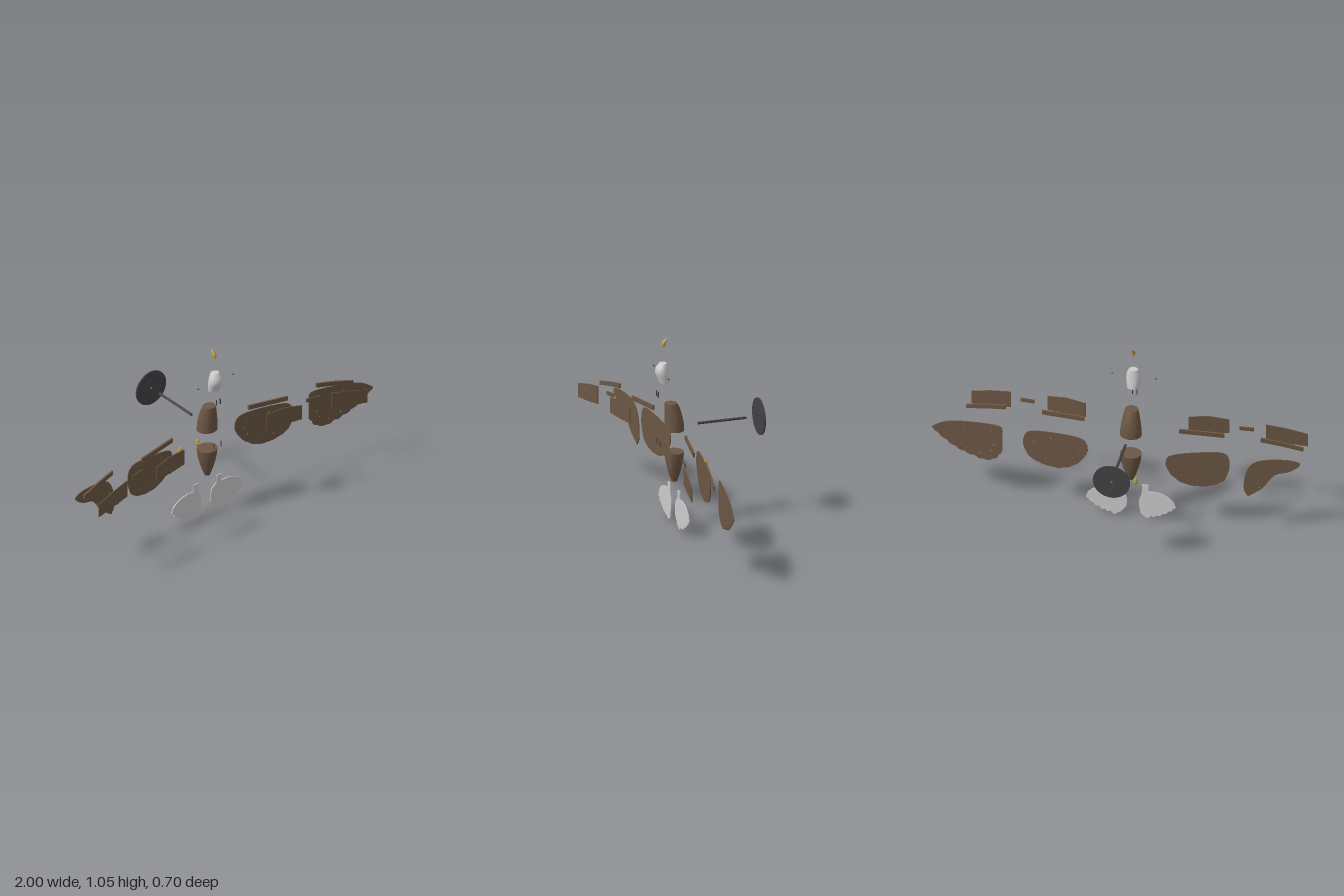
import * as THREE from 'three';

const AXIS = -0.088; // x of the body's centre line
const mat = (color) => new THREE.MeshStandardMaterial({ color, roughness: 0.8 });
const GREY = mat(0xcccccc), BROWN = mat(0x6b5643), GOLD = mat(0xb89f42), BLACK = mat(0x424244);

// Stacked elliptical sections, bottom to top: [y, centreZ, radiusX, radiusZ]
function loft(rows) {
  const n = rows.length - 1;
  const g = new THREE.CylinderGeometry(1, 1, 1, 32, n);
  const p = g.attributes.position;
  for (let i = 0; i < p.count; i++) {
    const [y, cz, rx, rz] = rows[Math.round((p.getY(i) + 0.5) * n)];
    p.setXYZ(i, AXIS + p.getX(i) * rx, y, cz + p.getZ(i) * rz);
  }
  g.computeVertexNormals();
  return g;
}

// Flat plate swept forward: points are [distance from axis, y].
// edge is smooth or straight, feathers continue it with scallops.
function plate({ edge, feathers = [], side, z, slope = 0.132, t = 0.005, smooth = true, bulge = 0.012, dots = false }) {
  const v = ([d, y]) => new THREE.Vector2(AXIS + side * d, y);
  const e = edge.map(v), f = feathers.map(v);
  const all = [...e, ...f];
  const mid = all.reduce((a, b) => a.add(b), new THREE.Vector2()).divideScalar(all.length);
  const s = new THREE.Shape();
  s.moveTo(e[0].x, e[0].y);
  if (smooth) s.splineThru(e.slice(1));
  else e.slice(1).forEach((q) => s.lineTo(q.x, q.y));
  let last = e[e.length - 1];
  for (const q of f) {
    const c = last.clone().add(q).multiplyScalar(0.5);
    c.add(c.clone().sub(mid).setLength(bulge * 2));
    s.quadraticCurveTo(c.x, c.y, q.x, q.y);
    last = q;
  }
  s.closePath();
  // small fixing holes inside the rim
  if (dots) all.forEach((q, i) => {
    if (i % 2) return;
    const c = q.clone().lerp(mid, 0.3);
    s.holes.push(new THREE.Path().absarc(c.x, c.y, 0.003, 0, Math.PI * 2, true));
  });
  const g = new THREE.ExtrudeGeometry(s, { depth: t, bevelEnabled: false, curveSegments: 6 });
  const p = g.attributes.position, d0 = Math.min(...[...edge, ...feathers].map((q) => q[0]));
  for (let i = 0; i < p.count; i++) {
    const d = Math.abs(p.getX(i) - AXIS);
    p.setZ(i, p.getZ(i) - t / 2 + z + slope * (d - d0));
  }
  g.computeVertexNormals();
  return g;
}

// Scalloped lower rim running from (d1,y1) to (d0,y0)
const rim = (d1, y1, d0, y0, n) =>
  Array.from({ length: n }, (_, i) => {
    const k = (i + 1) / n;
    return [d1 + (d0 - d1) * k, y1 + (y0 - y1) * k];
  });

export function createModel() {
  const group = new THREE.Group();
  const add = (name, geometry, material, x = 0, y = 0, z = 0) => {
    const m = new THREE.Mesh(geometry, material);
    m.name = name;
    m.position.set(x, y, z);
    group.add(m);
    return m;
  };

  // Beak and its peg
  add('beak', loft([[1.003, 0.191, 0.009, 0.009], [1.015, 0.19, 0.011, 0.011], [1.028, 0.185, 0.01, 0.01],
    [1.039, 0.177, 0.007, 0.007], [1.048, 0.166, 0.001, 0.001]]), GOLD);
  add('beakPeg', new THREE.CylinderGeometry(0.002, 0.002, 0.01, 8), GOLD, AXIS, 1, 0.19);

  // Head, torso halves
  add('head', loft([[0.8, 0.183, 0.032, 0.028], [0.83, 0.19, 0.037, 0.032], [0.85, 0.197, 0.04, 0.035],
    [0.87, 0.2, 0.039, 0.035], [0.89, 0.198, 0.034, 0.03], [0.91, 0.192, 0.024, 0.02]]), GREY);
  add('upperBody', loft([[0.53, 0.129, 0.058, 0.052], [0.57, 0.13, 0.056, 0.051], [0.61, 0.134, 0.051, 0.047],
    [0.65, 0.14, 0.043, 0.041], [0.682, 0.148, 0.036, 0.033]]), BROWN);
  add('lowerBody', loft([[0.245, 0.129, 0.015, 0.015], [0.28, 0.129, 0.029, 0.027], [0.32, 0.129, 0.042, 0.038],
    [0.365, 0.129, 0.053, 0.047], [0.41, 0.129, 0.058, 0.052]]), BROWN);

  // Stand rod and round base
  add('standRod', new THREE.CylinderGeometry(0.007, 0.007, 0.27, 20).rotateX(Math.PI / 2), BLACK, AXIS, 0.552, -0.137);
  const disc = new THREE.Shape().absarc(0, 0, 0.1, 0, Math.PI * 2);
  disc.holes.push(new THREE.Path().absarc(0, 0, 0.007, 0, Math.PI * 2, true));
  add('standBase', new THREE.ExtrudeGeometry(disc, { depth: 0.008, bevelEnabled: false, curveSegments: 32 }),
    BLACK, AXIS, 0.552, -0.349);

  for (const side of [1, -1]) {
    const x = (d) => AXIS + side * d;

    // Eyes, joining pins, feet
    add('eye', new THREE.CylinderGeometry(0.004, 0.004, 0.006, 12).rotateZ(Math.PI / 2), BLACK, x(0.118), 0.858, 0.202);
    add('neckPin', new THREE.CylinderGeometry(0.003, 0.003, 0.032, 10), BLACK, x(0.013), 0.741, 0.223);
    add('bodyPin', new THREE.CylinderGeometry(0.003, 0.003, 0.034, 10), BLACK, x(0.024), 0.47, 0.217);
    add('foot', new THREE.SphereGeometry(1, 20, 14).scale(0.01, 0.022, 0.01), GOLD, x(0.06), 0.342, -0.025);
    add('footPeg', new THREE.CylinderGeometry(0.003, 0.003, 0.012, 10).rotateX(Math.PI / 2), GOLD, x(0.06), 0.342, -0.012);

    // Tail fan with its tab
    const inner = side > 0 ? 0.02 : 0.043;
    add('tailFan', plate({
      side, z: 0.13, slope: 0, smooth: false, bulge: 0.01,
      edge: [[0.24, 0.1], [0.233, 0.122], [0.21, 0.145], [0.175, 0.165], [0.135, 0.174], [0.095, 0.172], [0.095, 0.214],
        [0.06, 0.214], [0.06, 0.17], [inner + 0.013, 0.148], [inner, 0.11], [inner + 0.003, 0.065], [0.055, 0.022], [0.085, 0.004]],
      feathers: [[0.11, 0.021], [0.14, 0.027], [0.17, 0.042], [0.2, 0.06], [0.225, 0.08], [0.24, 0.1]],
    }), GREY);

    // Leading-edge bars
    add('innerBar', plate({
      side, z: 0.155, slope: 0.15, t: 0.01, smooth: false,
      edge: [[0.257, 0.56], [0.257, 0.585], [0.493, 0.568], [0.493, 0.543]],
    }), BROWN);
    add('outerBar', plate({
      side, z: 0.19, slope: 0.15, t: 0.01, smooth: false,
      edge: [[0.69, 0.545], [0.69, 0.57], [0.8, 0.548], [0.912, 0.518], [0.912, 0.496], [0.8, 0.524]],
    }), BROWN);

    // Covert panels and the short link between them
    add('innerCovert', plate({
      side, z: 0.28, slope: 0.16, smooth: false, bulge: 0.006,
      edge: [[0.278, 0.492], [0.278, 0.582], [0.39, 0.59], [0.493, 0.572], [0.493, 0.487]],
      feathers: rim(0.493, 0.487, 0.278, 0.492, 7),
    }), BROWN);
    add('outerCovert', plate({
      side, z: 0.315, slope: 0.145, smooth: false, bulge: 0.006,
      edge: [[0.69, 0.472], [0.69, 0.57], [0.8, 0.55], [0.91, 0.52], [0.91, 0.443]],
      feathers: rim(0.91, 0.443, 0.69, 0.472, 7),
    }), BROWN);
    add('covertLink', plate({
      side, z: 0.273, slope: 0.16, smooth: false,
      edge: [[0.555, 0.545], [0.555, 0.567], [0.63, 0.56], [0.63, 0.538]],
    }), BROWN);
  }

  // Wing plates: the two sides are posed differently
  add('leftInnerWing', plate({
    side: 1, z: 0.082, dots: true, bulge: 0.005,
    edge: [[0.223, 0.42], [0.227, 0.455], [0.25, 0.486], [0.31, 0.496], [0.444, 0.489], [0.55, 0.468], [0.58, 0.42], [0.58, 0.37], [0.56, 0.325]],
    feathers: [[0.53, 0.3], [0.49, 0.283], [0.417, 0.272], [0.36, 0.28], [0.305, 0.308], [0.26, 0.35], [0.223, 0.42]],
  }), BROWN);
  add('rightInnerWing', plate({
    side: -1, z: 0.08, dots: true, bulge: 0.005,
    edge: [[0.198, 0.415], [0.21, 0.448], [0.25, 0.467], [0.332, 0.482], [0.465, 0.495], [0.522, 0.475], [0.535, 0.4], [0.515, 0.33]],
    feathers: [[0.485, 0.3], [0.43, 0.278], [0.37, 0.272], [0.3, 0.284], [0.25, 0.315], [0.215, 0.36], [0.198, 0.415]],
  }), BROWN);
  add('leftOuterWing', plate({
    side: 1, z: 0.122, dots: true, bulge: 0.01,
    edge: [[0.695, 0.345], [0.694, 0.45], [0.715, 0.476], [0.8, 0.474], [0.925, 0.457], [1.016, 0.432], [1.086, 0.386]],
    feathers: [[1.045, 0.35], [1, 0.318], [0.95, 0.29], [0.9, 0.272], [0.85, 0.26], [0.8, 0.246], [0.75, 0.258], [0.715, 0.29], [0.695, 0.345]],
  }), BROWN);
  add('rightOuterWing', plate({
    side: -1, z: 0.11, dots: true, bulge: 0.004,
    edge: [[0.636, 0.24], [0.615, 0.29], [0.626, 0.388], [0.663, 0.452], [0.733, 0.478], [0.84, 0.484], [0.9, 0.472],
      [0.905, 0.448], [0.85, 0.408], [0.785, 0.388], [0.745, 0.345]],
    feathers: [[0.72, 0.303], [0.68, 0.27], [0.636, 0.24]],
  }), BROWN);

  return group;
}
